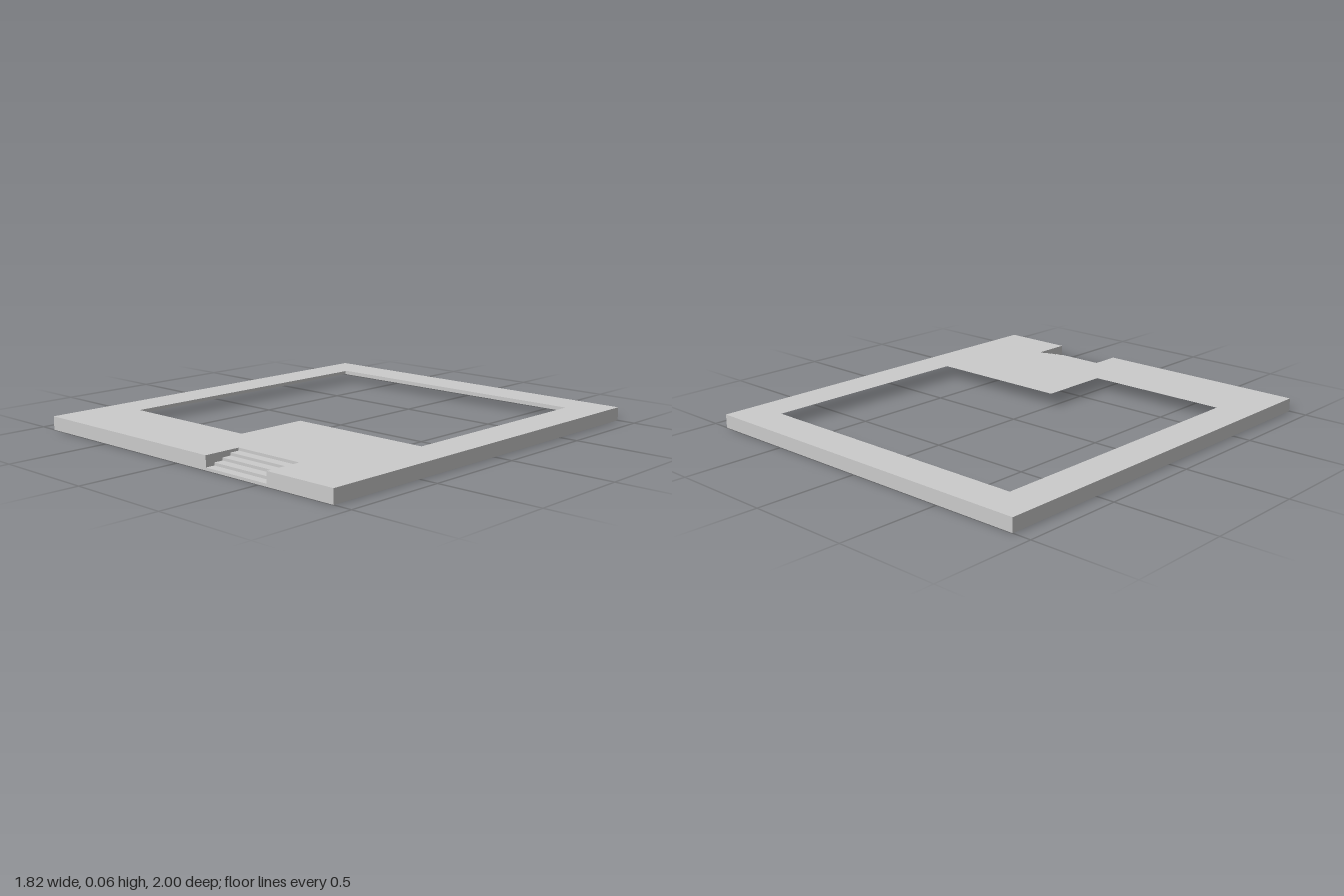
import * as THREE from 'three';

const U = 2 / 11;                 // plan module: the slab is 10 x 11 modules
const W = 5 * U, D = 1;           // half width and half depth
const H = 0.065;                  // slab height
const STEPS = 4;
const X0 = U, X1 = 3 * U;         // stair opening, left to right
const Z0 = D - U;                 // back of the stair opening
const RISE = H / (STEPS + 1), RUN = U / STEPS;

const material = new THREE.MeshStandardMaterial({
  color: 0xcccccc, flatShading: true, side: THREE.DoubleSide,
});

function add(parent, name, geometry) {
  const mesh = new THREE.Mesh(geometry, material);
  mesh.name = name;
  parent.add(mesh);
  return mesh;
}

const points = (list) => list.map(([x, y]) => new THREE.Vector2(x, y));

// Upright panel from (xa, za) to (xb, zb), between heights y0 and y1
function wall(parent, name, xa, za, xb, zb, y0, y1) {
  const geometry = new THREE.PlaneGeometry(Math.hypot(xb - xa, zb - za), y1 - y0);
  geometry.rotateY(Math.atan2(za - zb, xb - xa));
  geometry.translate((xa + xb) / 2, (y0 + y1) / 2, (za + zb) / 2);
  return add(parent, name, geometry);
}

export function createModel() {
  const model = new THREE.Group();
  model.name = 'terraceFoundation';

  // Deck sheet: outline with a stair notch in front, and an L-shaped opening
  const deck = new THREE.Shape(points([
    [-W, -D], [X0, -D], [X0, -Z0], [X1, -Z0], [X1, -D], [W, -D], [W, D], [-W, D],
  ]));
  deck.holes.push(new THREE.Path(points([
    [-4 * U, 4.5 * U], [4 * U, 4.5 * U], [4 * U, -1.5 * U],
    [0, -1.5 * U], [0, -3.5 * U], [-4 * U, -3.5 * U],
  ])));
  const deckGeometry = new THREE.ShapeGeometry(deck);
  deckGeometry.rotateX(-Math.PI / 2).translate(0, H, 0);
  add(model, 'deck', deckGeometry);

  // Outer skirt, open underneath
  const skirt = new THREE.Group();
  skirt.name = 'skirt';
  model.add(skirt);
  wall(skirt, 'frontWallRight', -W, D, X0, D, 0, H);
  wall(skirt, 'frontWallLeft', X1, D, W, D, 0, H);
  wall(skirt, 'leftWall', W, D, W, -D, 0, H);
  wall(skirt, 'backWall', W, -D, -W, -D, 0, H);
  wall(skirt, 'rightWall', -W, -D, -W, D, 0, H);

  // Recessed stairs: risers and treads climbing toward the back
  const stairs = new THREE.Group();
  stairs.name = 'stairs';
  model.add(stairs);
  const profile = [[Z0, H]];
  for (let i = STEPS; i >= 0; i--) {
    const z = D - i * RUN, y = i * RISE;
    wall(stairs, 'riser', X0, z, X1, z, y, y + RISE);
    if (i > 0) {
      const tread = new THREE.PlaneGeometry(X1 - X0, RUN).rotateX(-Math.PI / 2);
      tread.translate((X0 + X1) / 2, y, z + RUN / 2);
      add(stairs, 'tread', tread);
      profile.push([z, y], [z + RUN, y]);
    }
  }
  profile.push([D, H]);

  // Stepped cheeks closing both sides of the stair recess
  for (const [x, side] of [[X0, 1], [X1, -1]]) {
    const cheek = new THREE.ShapeGeometry(new THREE.Shape(points(profile)));
    cheek.rotateY(-Math.PI / 2).translate(x, 0, 0);
    add(stairs, side > 0 ? 'rightCheek' : 'leftCheek', cheek);
  }

  return model;
}
